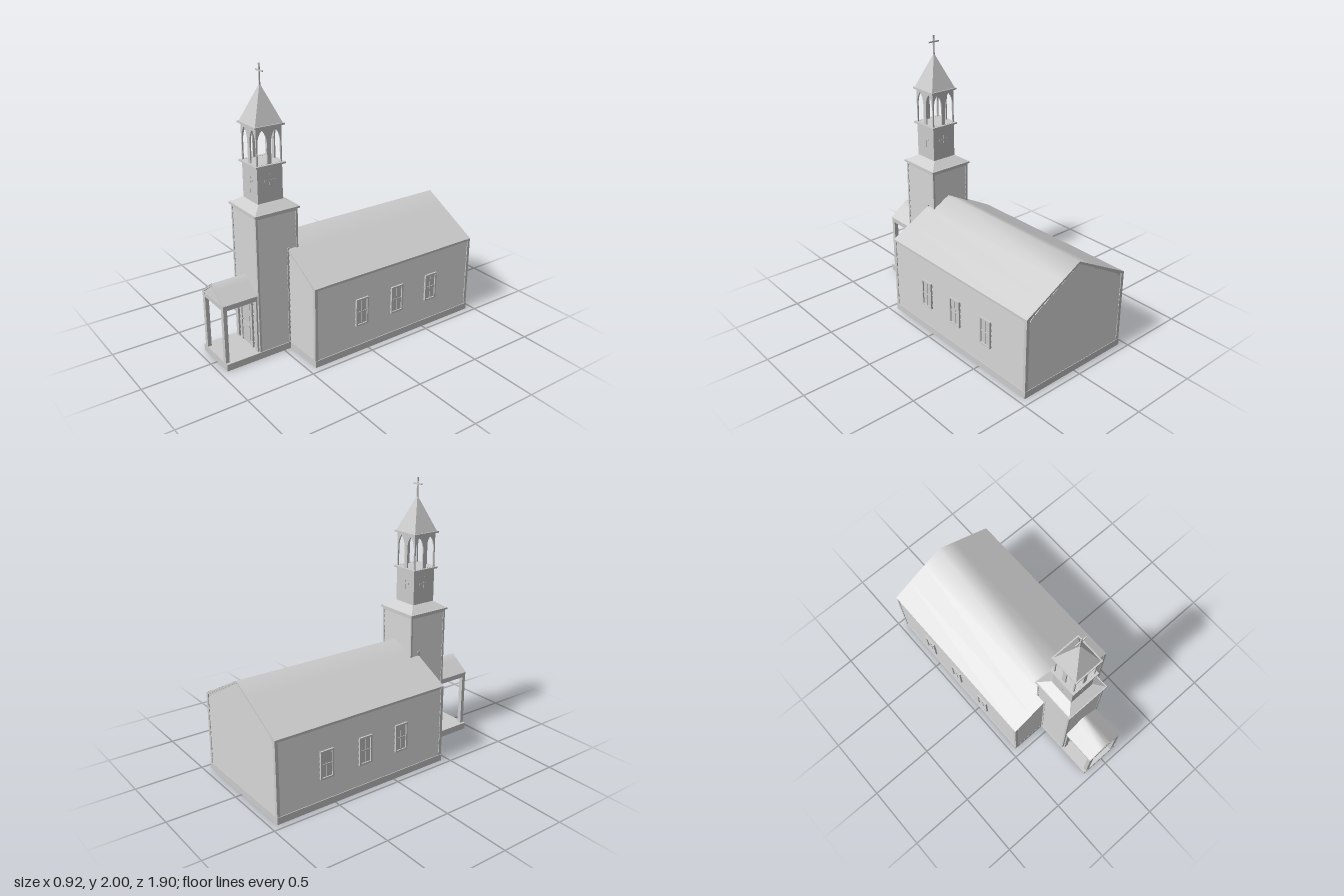
import * as THREE from 'three';
import { mergeGeometries } from 'three/addons/utils/BufferGeometryUtils.js';

const flat = new THREE.MeshStandardMaterial({ color: 0xcccccc, flatShading: true });
const smooth = new THREE.MeshStandardMaterial({ color: 0xcccccc, side: THREE.DoubleSide });

export function createModel() {
  const model = new THREE.Group();

  function add(name, geo, parent = model, mat = flat) {
    const m = new THREE.Mesh(geo, mat);
    m.name = name;
    parent.add(m);
    return m;
  }
  // Box given by its limits
  function box(name, x0, x1, y0, y1, z0, z1, parent) {
    const g = new THREE.BoxGeometry(x1 - x0, y1 - y0, z1 - z0);
    return add(name, g.translate((x0 + x1) / 2, (y0 + y1) / 2, (z0 + z1) / 2), parent);
  }
  function group(name, x = 0, y = 0, z = 0, rotY = 0, parent = model) {
    const g = new THREE.Group();
    g.name = name;
    g.position.set(x, y, z);
    g.rotation.y = rotY;
    parent.add(g);
    return g;
  }
  function extrude(points, z0, z1) {
    const s = new THREE.Shape(points.map(p => new THREE.Vector2(...p)));
    return new THREE.ExtrudeGeometry(s, { depth: z1 - z0, bevelEnabled: false }).translate(0, 0, z0);
  }
  // Rows of tapered lap boards on the local +z face; width may vary with height
  function siding(name, widthAt, y0, y1, parent, depth = 0.007) {
    const rows = Math.round((y1 - y0) / 0.043), h = (y1 - y0) / rows, boards = [];
    for (let i = 0; i < rows; i++) {
      const y = y0 + i * h, low = widthAt(y), high = widthAt(y + h);
      const g = new THREE.BoxGeometry(1, h, depth).translate(0, y + h / 2, depth / 2);
      const p = g.attributes.position;
      for (let k = 0; k < p.count; k++) {
        const top = p.getY(k) > y + h / 2;
        p.setX(k, p.getX(k) * (top ? high : low));
        if (top && p.getZ(k) > 0) p.setZ(k, 0.0005);
      }
      boards.push(g);
    }
    add(name, mergeGeometries(boards), parent);
  }
  // Ridge roof sheet whose shading is softened around the ridge
  function ridgeRoof(name, half, eave, ridge, z0, z1, x = 0) {
    const g = new THREE.PlaneGeometry(2 * half, z1 - z0, 6, 1).rotateX(-Math.PI / 2);
    const p = g.attributes.position;
    for (let i = 0; i < p.count; i++) p.setY(i, ridge - (ridge - eave) * Math.abs(p.getX(i)) / half);
    g.computeVertexNormals();
    return add(name, g.translate(x, 0, (z0 + z1) / 2), model, smooth);
  }
  // Boards running up both edges of a gable
  const rake = (half, eave, ridge, t, z0, z1) => extrude(
    [[-half, eave], [-half, eave - t], [0, ridge - t], [half, eave - t], [half, eave], [0, ridge]], z0, z1);
  // Square tapered block
  const taper = (bottom, top, h) =>
    new THREE.CylinderGeometry(top * Math.SQRT2, bottom * Math.SQRT2, h, 4, 1, false, Math.PI / 4);

  const TX = -0.02, TZ = 0.53, EAVE = 0.59, RIDGE = 0.833;

  // Foundation
  box('naveFoundation', -0.455, 0.455, 0, 0.05, -0.95, 0.447);
  box('porchFoundation', -0.185, 0.145, 0, 0.05, 0.44, 0.95);

  // Nave
  add('naveBody', extrude([[-0.443, 0.05], [0.443, 0.05], [0.443, EAVE], [0, RIDGE - 0.004], [-0.443, EAVE]], -0.94, 0.439));
  ridgeRoof('naveRoof', 0.453, EAVE, RIDGE, -0.948, 0.447);
  const gable = y => y < EAVE - 0.02 ? 0.86 : Math.max(0.01, 0.86 * (RIDGE - 0.02 - y) / (RIDGE - EAVE));
  siding('frontGableSiding', gable, 0.05, 0.81, group('naveFront', 0, 0, 0.439));
  siding('backGableSiding', gable, 0.05, 0.81, group('naveBack', 0, 0, -0.94, Math.PI));
  add('frontRake', rake(0.452, EAVE, RIDGE, 0.016, 0.436, 0.447));
  add('backRake', rake(0.452, EAVE, RIDGE, 0.016, -0.948, -0.937));
  for (const s of [-1, 1]) {
    const wall = group(s > 0 ? 'leftWall' : 'rightWall', s * 0.443, 0, -0.25, s * Math.PI / 2);
    siding('wallSiding', () => 1.35, 0.05, 0.575, wall);
    box('eaveBoard', -0.69, 0.69, 0.572, EAVE, 0, 0.008, wall);
    for (const z of [-0.937, 0.436])
      box('cornerBoard', s * 0.44 - 0.012, s * 0.44 + 0.012, 0.05, EAVE, z - 0.011, z + 0.011);

    // Side windows
    for (const z of [0.06, -0.25, -0.565]) {
      const w = group('window', s * 0.443, 0.307, z, s * Math.PI / 2);
      box('pane', -0.045, 0.045, -0.095, 0.095, 0, 0.009, w);
      for (const e of [-1, 1]) {
        box('jamb', e * 0.046 - 0.006, e * 0.046 + 0.006, -0.103, 0.103, 0, 0.018, w);
        box('rail', -0.052, 0.052, e * 0.097 - 0.006, e * 0.097 + 0.006, 0, 0.018, w);
      }
      box('mullion', -0.003, 0.003, -0.095, 0.095, 0, 0.013, w);
      box('meetingRail', -0.045, 0.045, -0.004, 0.004, 0, 0.013, w);
    }
  }

  // Tower with siding and corner boards
  box('towerBody', TX - 0.153, TX + 0.153, 0.05, 1.045, TZ - 0.153, TZ + 0.153);
  for (let i = 0; i < 4; i++) {
    const a = i * Math.PI / 2;
    const face = group('towerFace', TX, 0, TZ, a);
    const wall = group('towerWall', 0, 0, 0.153, 0, face);
    siding('towerSiding', () => 0.296, i === 2 ? 0.74 : 0.05, 1.03, wall);
    box('towerFrieze', -0.155, 0.155, 1.028, 1.046, 0, 0.008, wall);
    box('towerCornerBoard', 0.146, 0.161, i === 0 || i === 3 ? 0.05 : 0.7, 1.046, 0.146, 0.161, face);
  }
  for (const x of [-0.172, 0.132])
    box('towerBackTrim', x - 0.009, x + 0.009, 0.05, 0.77, 0.44, 0.456);

  // Tower cornice and skirt roof
  box('towerCornice', TX - 0.173, TX + 0.173, 1.045, 1.058, TZ - 0.173, TZ + 0.173);
  add('skirtRoof', taper(0.165, 0.096, 0.046)).position.set(TX, 1.081, TZ);

  // Belfry base, with a raised cross on every side
  const belfry = group('belfry', TX, 0, 0.535);
  box('belfryBase', -0.095, 0.095, 1.1, 1.352, -0.095, 0.095, belfry);
  box('belfrySill', -0.112, 0.112, 1.35, 1.362, -0.112, 0.112, belfry);
  box('belfryCornice', -0.112, 0.112, 1.61, 1.622, -0.112, 0.112, belfry);

  // Pair of pointed arches cut in each belfry side
  const panel = new THREE.Shape([[-0.095, 1.362], [0.095, 1.362], [0.095, 1.61], [-0.095, 1.61]]
    .map(p => new THREE.Vector2(...p)));
  for (const c of [-0.05, 0.05]) {
    const r = 0.035, hole = new THREE.Path();
    hole.moveTo(c - r, 1.363);
    hole.lineTo(c - r, 1.5);
    hole.quadraticCurveTo(c - r + 0.002, 1.565, c, 1.592);
    hole.quadraticCurveTo(c + r - 0.002, 1.565, c + r, 1.5);
    hole.lineTo(c + r, 1.363);
    panel.holes.push(hole);
  }
  const archGeo = new THREE.ExtrudeGeometry(panel, { depth: 0.01, bevelEnabled: false, curveSegments: 8 });
  for (let i = 0; i < 4; i++) {
    const side = group('belfrySide', 0, 0, 0, i * Math.PI / 2, belfry);
    add('arches', archGeo, side).position.z = 0.085;
    box('crossUpright', -0.007, 0.007, 1.16, 1.3, 0.094, 0.097, side);
    box('crossArm', -0.04, 0.04, 1.243, 1.257, 0.094, 0.097, side);
  }

  // Spire and finial cross
  add('spire', taper(0.103, 0.004, 0.242), belfry).position.y = 1.742;
  box('finialPost', -0.005, 0.005, 1.85, 2, -0.004, 0.004, belfry);
  box('finialArm', -0.043, 0.043, 1.948, 1.958, -0.004, 0.004, belfry);

  // Porch posts, beams and gabled roof
  for (const s of [-1, 1]) {
    const x = TX + s * 0.129;
    box('porchPost', x - 0.016, x + 0.016, 0.05, 0.442, 0.92, 0.948);
    box('porchPilaster', x - 0.016, x + 0.016, 0.05, 0.442, 0.685, 0.702);
    box('porchSideBeam', x - 0.016, x + 0.016, 0.44, 0.476, 0.69, 0.948);
  }
  box('porchFrontBeam', TX - 0.145, TX + 0.145, 0.44, 0.476, 0.92, 0.947);
  add('porchGable', extrude([[-0.14, 0.475], [0.14, 0.475], [0, 0.58]], 0.925, 0.938)).position.x = TX;
  siding('porchGableSiding', y => Math.max(0.01, 0.24 * (0.575 - y) / 0.1), 0.478, 0.57, group('porchFront', TX, 0, 0.938), 0.006);
  add('porchRake', rake(0.147, 0.478, 0.586, 0.015, 0.93, 0.949)).position.x = TX;
  add('porchRoofSlab', rake(0.147, 0.477, 0.585, 0.01, 0.69, 0.935)).position.x = TX;
  ridgeRoof('porchRoof', 0.148, 0.479, 0.588, 0.69, 0.95, TX);

  // Front door with frame, panels and knob
  const door = group('frontDoor', TX, 0, 0.683);
  box('doorLeaf', -0.065, 0.065, 0.05, 0.42, 0, 0.011, door);
  for (const s of [-1, 1]) box('doorJamb', s * 0.07 - 0.007, s * 0.07 + 0.007, 0.05, 0.432, 0, 0.018, door);
  box('doorHead', -0.077, 0.077, 0.418, 0.432, 0, 0.018, door);
  box('lowerPanel', -0.037, 0.037, 0.085, 0.205, 0, 0.015, door);
  box('upperPanel', -0.037, 0.037, 0.24, 0.39, 0, 0.013, door);
  add('doorKnob', new THREE.SphereGeometry(0.006, 10, 8), door, smooth).position.set(-0.05, 0.22, 0.017);

  return model;
}
